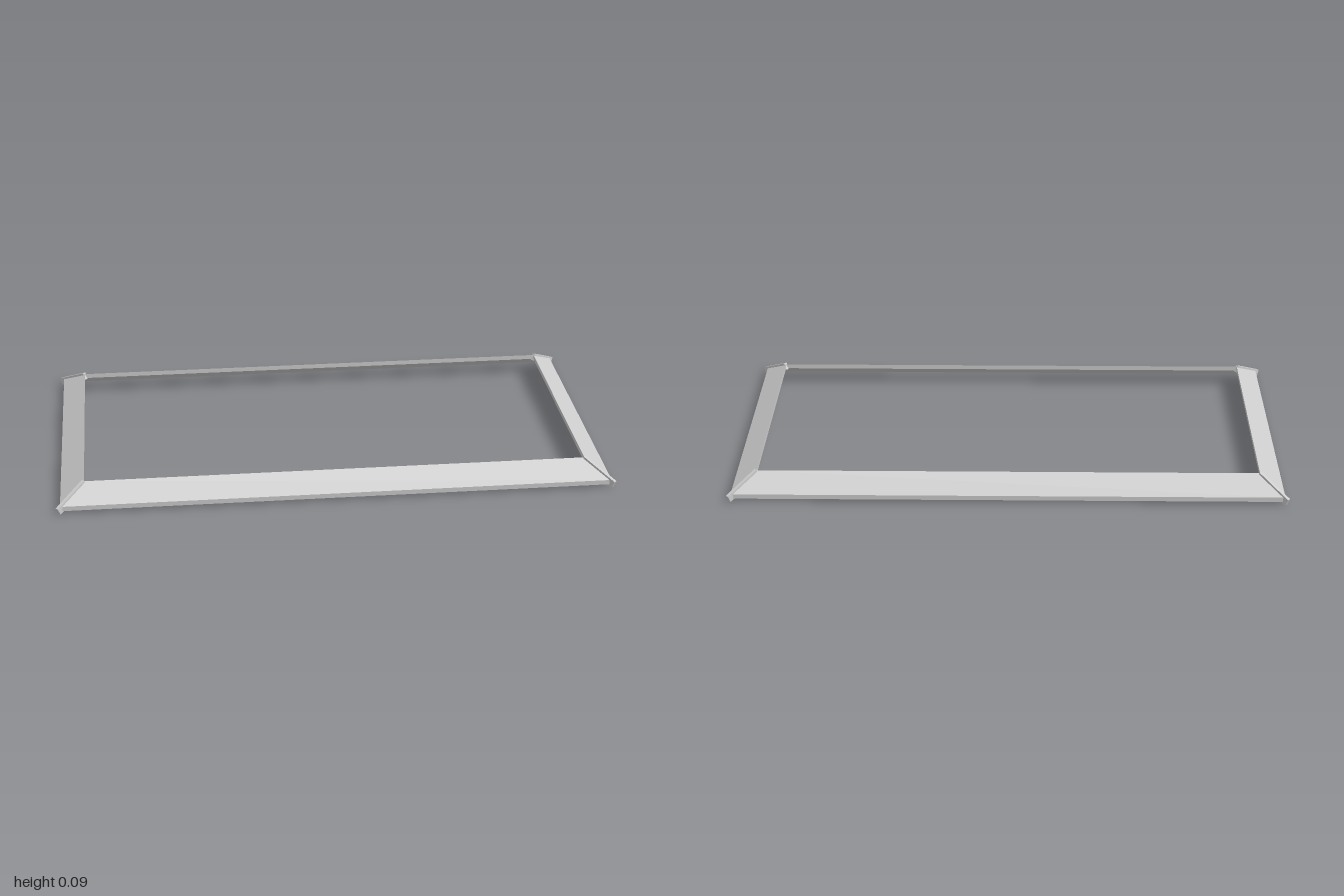
import * as THREE from 'three';

const material = new THREE.MeshStandardMaterial({ color: 0xcccccc, flatShading: true });

// Prism along x from a [z, y] section; halfLength(z) sets the end cuts, so mitres are possible.
function sweep(section, halfLength) {
  const end = (s) => section.map(([z, y]) => [s * halfLength(z), y, z]);
  const a = end(-1), b = end(1);
  const positions = [];
  const quad = (p, q, r, s) => positions.push(...p, ...q, ...r, ...p, ...r, ...s);
  quad(...a);
  quad(...b.slice().reverse());
  for (let i = 0; i < 4; i++) {
    const j = (i + 1) % 4;
    quad(a[j], a[i], b[i], b[j]);
  }
  const geometry = new THREE.BufferGeometry();
  geometry.setAttribute('position', new THREE.Float32BufferAttribute(positions, 3));
  geometry.computeVertexNormals();
  return geometry;
}

export function createModel() {
  const group = new THREE.Group();
  const add = (name, geometry, x, z, angle) => {
    const mesh = new THREE.Mesh(geometry, material);
    mesh.name = name;
    mesh.position.set(x, 0, z);
    mesh.rotation.y = angle;
    group.add(mesh);
  };

  // Four sloping slabs with mitred ends around the opening
  const innerX = 0.9, innerZ = 0.46;
  const slab = [[0, 0.063], [0.085, 0.01], [0.085, 0.027], [0, 0.08]];
  ['frontSlope', 'leftSlope', 'backSlope', 'rightSlope'].forEach((name, i) => {
    const [half, out] = i % 2 ? [innerZ, innerX] : [innerX, innerZ];
    const angle = i * Math.PI / 2;
    add(name, sweep(slab, (d) => half + d), Math.sin(angle) * out, Math.cos(angle) * out, angle);
  });

  // Hip bars covering the mitred corners
  const bar = [[-0.011, 0.06], [0.122, 0], [0.133, 0.025], [0, 0.085]];
  const barGeometry = sweep(bar, () => 0.006);
  for (const sx of [-1, 1]) {
    for (const sz of [-1, 1]) {
      const name = (sz > 0 ? 'front' : 'back') + (sx > 0 ? 'Left' : 'Right') + 'HipBar';
      add(name, barGeometry, sx * 0.902, sz * 0.462, Math.atan2(sx, sz));
    }
  }
  return group;
}
